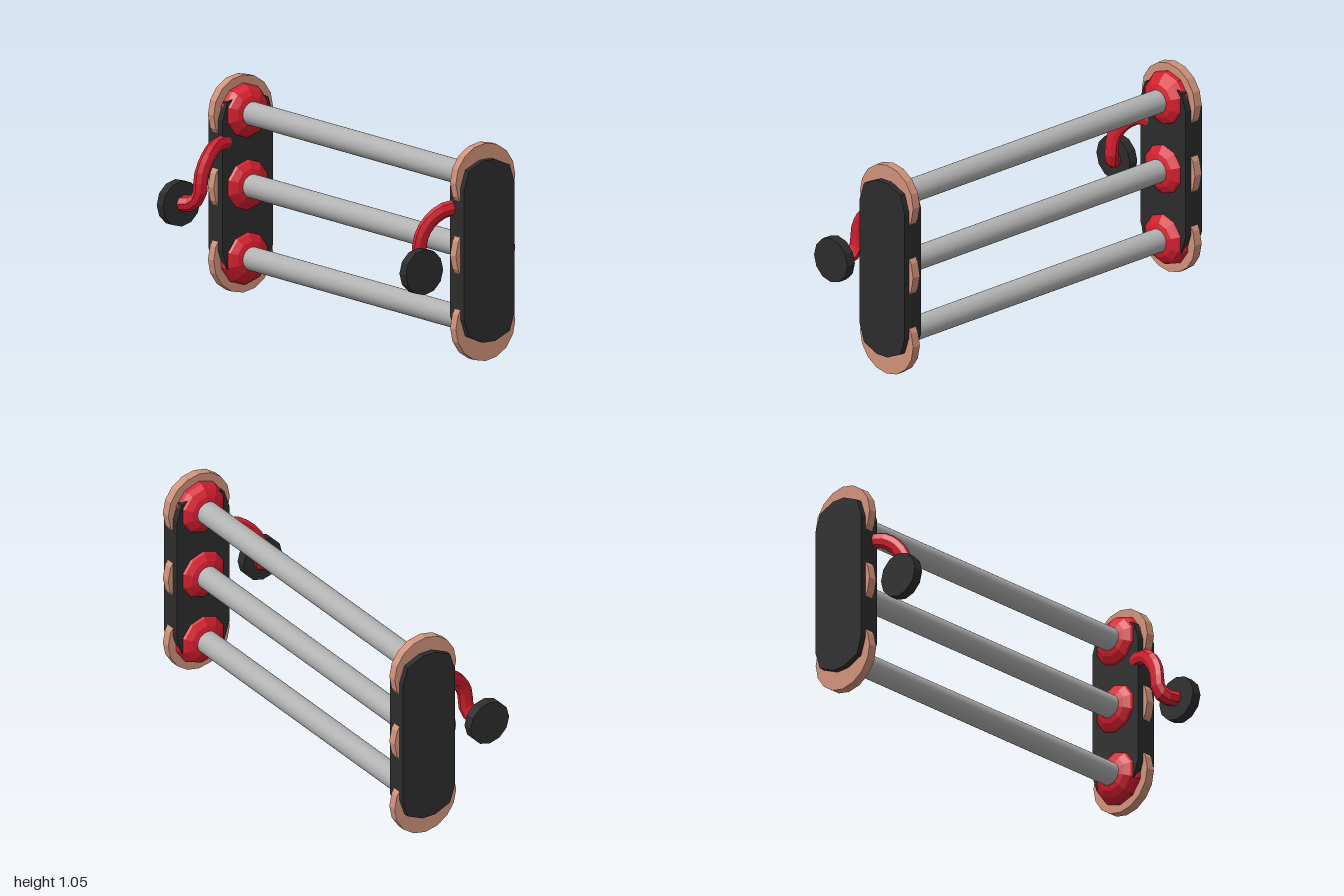
import * as THREE from 'three';

const mat = (name, color) => {
  const m = new THREE.MeshStandardMaterial({ color });
  m.name = name;
  return m;
};

// Facets a geometry; side = -1 mirrors it to the back end
function facet(geometry, side) {
  const g = geometry.index ? geometry.toNonIndexed() : geometry.clone();
  g.clearGroups();
  if (side < 0) {
    g.scale(1, 1, -1);
    const p = g.attributes.position;
    const a = new THREE.Vector3(), b = new THREE.Vector3();
    for (let i = 0; i < p.count; i += 3) {
      a.fromBufferAttribute(p, i + 1);
      b.fromBufferAttribute(p, i + 2);
      p.setXYZ(i + 1, b.x, b.y, b.z);
      p.setXYZ(i + 2, a.x, a.y, a.z);
    }
  }
  g.computeVertexNormals();
  return g;
}

export function createModel() {
  const black = mat('black rubber', 0x2c2c2c);
  const red = mat('red paint', 0xd41e2e);
  const tan = mat('tan wheel', 0xd0927a);
  const grey = mat('grey metal', 0xb2b2b2);

  const model = new THREE.Group();
  const CX = 0.148;
  const LEVELS = [0.177, 0.527, 0.876];

  // Disc facing z
  const disc = (r, depth, sides, x, y, z) =>
    new THREE.CylinderGeometry(r, r, depth, sides).rotateX(Math.PI / 2).translate(x, y, z);

  // Long side plate with clipped ends
  const half = [[0.148, 0.315], [0.12, 0.4], [0.035, 0.4375]];
  const outline = [
    ...half.map(([x, y]) => [x, y]),
    ...half.slice().reverse().map(([x, y]) => [-x, y]),
    ...half.map(([x, y]) => [-x, -y]),
    ...half.slice().reverse().map(([x, y]) => [x, -y]),
  ].map(([x, y]) => new THREE.Vector2(x, y));
  const plate = new THREE.ExtrudeGeometry(new THREE.Shape(outline), { depth: 0.11, bevelEnabled: false })
    .translate(CX, 0.537, 0.89);

  // Domed hub pointing inward
  const domeProfile = [[0.138, 0], [0.133, 0.025], [0.115, 0.05], [0.085, 0.07], [0.05, 0.08], [0, 0.08]]
    .map(([r, y]) => new THREE.Vector2(r, y));

  // Crank arm: stretched path, flattened again to give an oval section
  const flat = 0.65;
  const path = new THREE.CatmullRomCurve3([
    [0.04, 0.745, 0.91], [-0.03, 0.742, 0.895], [-0.1, 0.695, 0.872], [-0.148, 0.62, 0.86],
    [-0.162, 0.52, 0.86], [-0.182, 0.485, 0.885], [-0.215, 0.477, 0.945],
  ].map(([x, y, z]) => new THREE.Vector3(x, y, z / flat)));
  const arm = new THREE.TubeGeometry(path, 12, 0.039, 8).scale(1, 1, flat);

  for (const side of [1, -1]) {
    const end = new THREE.Group();
    end.name = side > 0 ? 'frontEnd' : 'backEnd';
    const add = (name, geometry, material) => {
      const m = new THREE.Mesh(facet(geometry, side), material);
      m.name = name;
      end.add(m);
    };
    add('sidePlate', plate, black);
    LEVELS.forEach((y, i) => {
      add('wheel' + (i + 1), disc(0.175, 0.045, 16, CX, y, 0.948), tan);
      add('hub' + (i + 1),
        new THREE.LatheGeometry(domeProfile, 10).rotateX(-Math.PI / 2).translate(CX, y, 0.93), red);
    });
    add('crankArm', arm, red);
    add('pedal', disc(0.11, 0.05, 12, -0.215, 0.477, 0.95), black);
    model.add(end);
  }

  // Round bars joining the two ends
  LEVELS.forEach((y, i) => {
    const bar = new THREE.Mesh(disc(0.057, 1.76, 32, CX, y, 0), grey);
    bar.name = 'crossBar' + (i + 1);
    model.add(bar);
  });

  return model;
}
